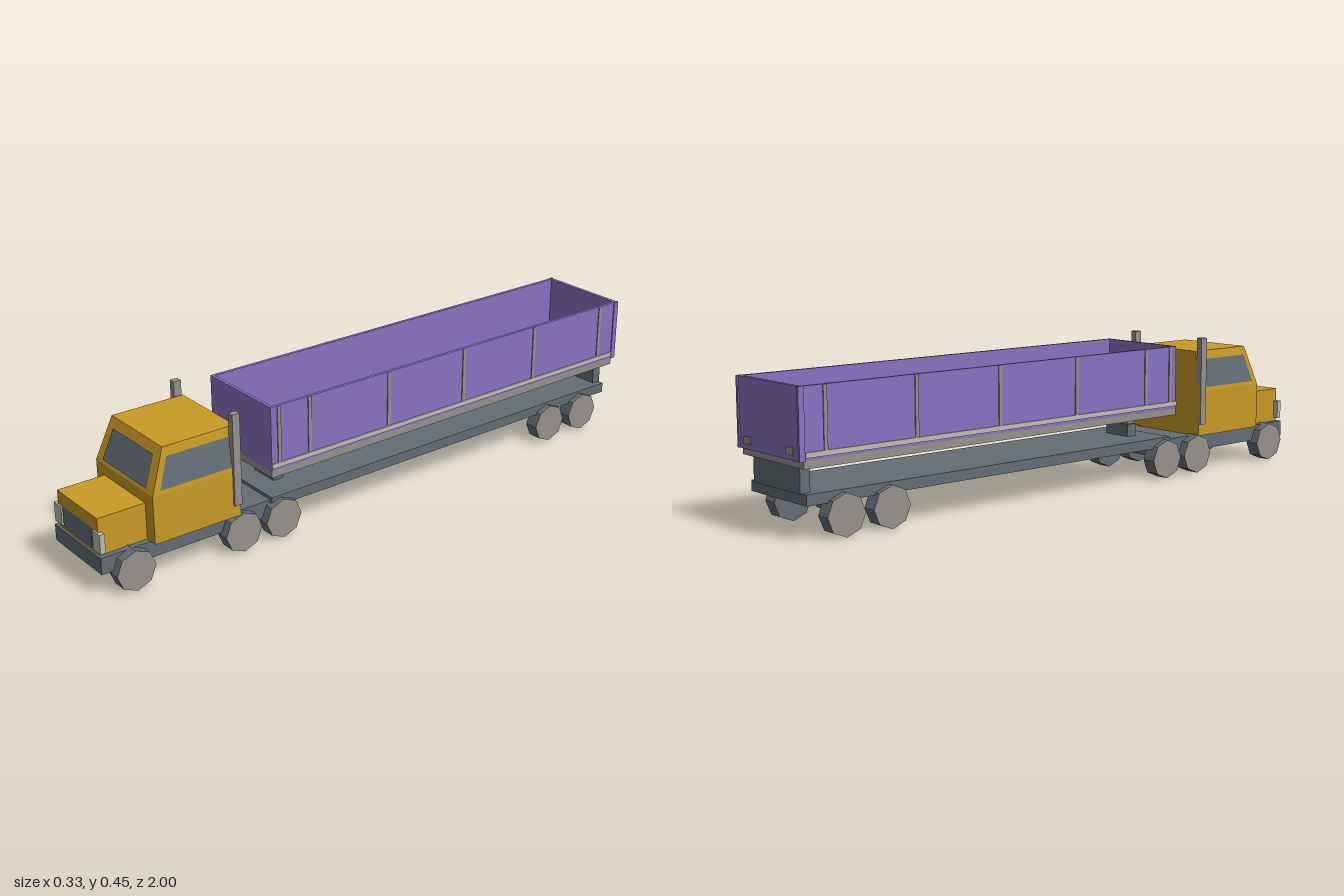
import * as THREE from 'three';

const mat = (name, color) => {
  const m = new THREE.MeshStandardMaterial({ color });
  m.name = name;
  return m;
};

export function createModel() {
  const gold = mat('cab gold', 0xc89a26);
  const purple = mat('bed purple', 0x8772c2);
  const slate = mat('slate', 0x646d76);
  const gray = mat('warm gray', 0x97918c);
  const light = mat('light gray', 0xbfbdb2);
  const glass = slate.clone();
  glass.name = 'slate panel';
  glass.side = THREE.DoubleSide;

  const truck = new THREE.Group();
  truck.name = 'truck';
  const add = (name, geometry, material) => {
    const mesh = new THREE.Mesh(geometry, material);
    mesh.name = name;
    truck.add(mesh);
    return mesh;
  };
  // Box given by its limits on each axis
  const box = (name, material, [x0, x1], [y0, y1], [z0, z1]) => {
    const g = new THREE.BoxGeometry(x1 - x0, y1 - y0, z1 - z0);
    g.translate((x0 + x1) / 2, (y0 + y1) / 2, (z0 + z1) / 2);
    return add(name, g, material);
  };
  // The same box on both sides, x given for the left
  const pair = (name, material, [x0, x1], y, z) => {
    box(name + 'Left', material, [x0, x1], y, z);
    box(name + 'Right', material, [-x1, -x0], y, z);
  };
  // Flat four-cornered pane
  const pane = (name, corners) => {
    const g = new THREE.BufferGeometry();
    g.setAttribute('position', new THREE.Float32BufferAttribute(corners.flat(), 3));
    g.setIndex([0, 1, 2, 0, 2, 3]);
    g.computeVertexNormals();
    add(name, g, glass);
  };

  // Tractor chassis with bumper, and trailer frame
  box('tractorChassis', slate, [-0.13, 0.13], [0.07, 0.122], [0.37, 1]);
  box('trailerFrame', slate, [-0.14, 0.14], [0.1, 0.132], [-0.97, 0.43]);

  // Cab: straight lower part, tapered upper part
  box('cabLower', gold, [-0.155, 0.155], [0.122, 0.27], [0.55, 0.84]);
  const upper = new THREE.BoxGeometry(0.31, 0.132, 0.29);
  const p = upper.attributes.position;
  for (let i = 0; i < p.count; i++) {
    if (p.getY(i) < 0) continue;
    p.setX(i, Math.sign(p.getX(i)) * 0.136);
    if (p.getZ(i) > 0) p.setZ(i, 0.095);
  }
  upper.computeVertexNormals();
  upper.translate(0, 0.336, 0.695);
  add('cabUpper', upper, gold);

  // Windows lie just outside the sloping cab faces
  const sideX = y => 0.157 - (y - 0.27) * 0.144;
  const frontZ = y => 0.843 - (y - 0.27) * 0.379;
  const [lo, hi] = [0.282, 0.374];
  pane('windshield', [
    [-0.119, lo, frontZ(lo)], [0.119, lo, frontZ(lo)],
    [0.109, hi, frontZ(hi)], [-0.109, hi, frontZ(hi)],
  ]);
  for (const s of [1, -1]) {
    const corners = [
      [s * sideX(lo), lo, 0.815], [s * sideX(lo), lo, 0.577],
      [s * sideX(hi), hi, 0.577], [s * sideX(hi), hi, 0.782],
    ];
    pane(s > 0 ? 'sideWindowLeft' : 'sideWindowRight', s > 0 ? corners : corners.reverse());
  }

  // Hood, grille, headlights, exhaust stacks
  box('hood', gold, [-0.112, 0.112], [0.122, 0.236], [0.83, 0.993]);
  box('grille', slate, [-0.08, 0.08], [0.133, 0.193], [0.99, 0.997]);
  pair('headlight', light, [0.088, 0.129], [0.133, 0.193], [0.982, 0.998]);
  pair('exhaustStack', gray, [0.142, 0.163], [0.16, 0.447], [0.55, 0.575]);

  // Eight-sided wheels with gray outer discs
  for (const z of [0.905, 0.543, 0.4, -0.7, -0.853]) {
    for (const s of [1, -1]) {
      const g = new THREE.CylinderGeometry(0.063, 0.063, 0.046, 8).toNonIndexed();
      g.rotateZ(-s * Math.PI / 2);
      g.computeVertexNormals();
      const wheel = add('wheel', g, [slate, gray, slate]);
      wheel.position.set(s * 0.135, 0.063, z);
    }
  }

  // Trailer supports
  box('frontSupportBase', slate, [-0.05, 0.05], [0.13, 0.172], [0.325, 0.36]);
  box('frontSupportPin', gray, [-0.04, 0.04], [0.17, 0.21], [0.333, 0.352]);
  box('rearSupport', slate, [-0.118, 0.118], [0.13, 0.207], [-0.975, -0.943]);

  // Open bed
  box('bedFloor', gray, [-0.155, 0.155], [0.205, 0.228], [-0.985, 0.438]);
  pair('bedSide', purple, [0.145, 0.155], [0.226, 0.429], [-0.985, 0.438]);
  box('bedFront', purple, [-0.155, 0.155], [0.226, 0.429], [0.428, 0.438]);
  box('tailgate', purple, [-0.148, 0.148], [0.226, 0.429], [-0.997, -0.985]);
  pair('tailgatePost', purple, [0.15, 0.158], [0.226, 0.429], [-1, -0.982]);
  pair('tailgateLatch', gray, [0.09, 0.125], [0.24, 0.262], [-1, -0.996]);

  // Side rails and ribs
  pair('bedRail', light, [0.15, 0.159], [0.235, 0.25], [-0.98, 0.438]);
  for (const z of [0.41, 0.3, 0, -0.305, -0.61, -0.915]) {
    pair('bedRib', gray, [0.15, 0.158], [0.25, 0.428], [z - 0.006, z + 0.006]);
  }
  return truck;
}
